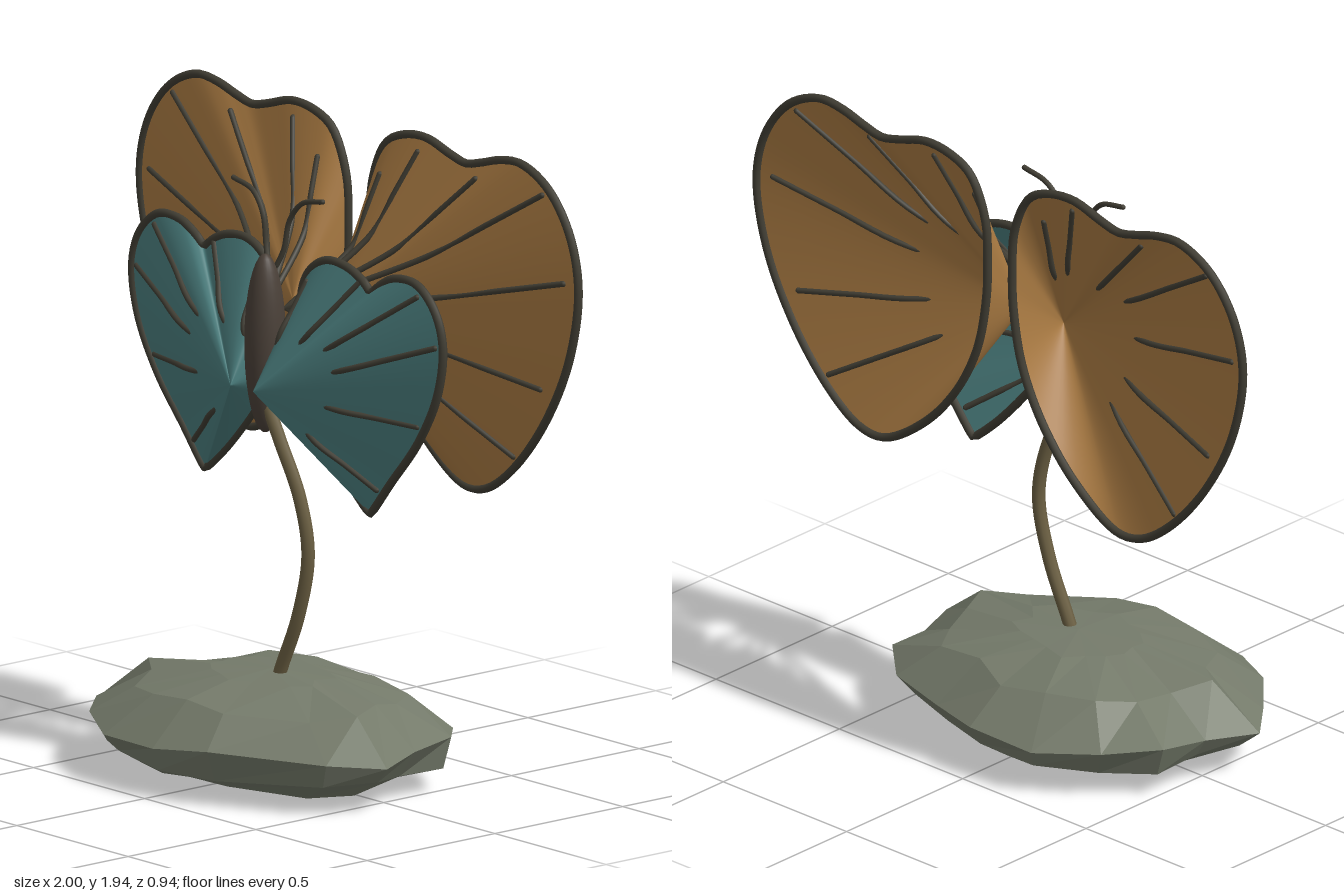
import * as THREE from 'three';

const mat = (color, extra = {}) => new THREE.MeshStandardMaterial({ color, ...extra });
const V = (x, y, z) => new THREE.Vector3(x, y, z);

function add(parent, name, geometry, material) {
  const mesh = new THREE.Mesh(geometry, material);
  mesh.name = name;
  parent.add(mesh);
  return mesh;
}

// Tube with rounded ends along a curve
function rod(parent, name, curve, segments, radius, material) {
  const group = new THREE.Group();
  group.name = name;
  add(group, name + 'Tube', new THREE.TubeGeometry(curve, segments, radius, 8), material);
  for (const t of [0, 1]) {
    add(group, name + 'End', new THREE.SphereGeometry(radius, 8, 6), material).position.copy(curve.getPoint(t));
  }
  parent.add(group);
}

// Flat rims, cone tips and vein ends of the wings on the +x side
const upperWing = {
  name: 'upperWing', color: 0xa97a42, rimZ: -0.34, apex: [0.08, 1.4, -0.15], root: [0.04, 1.42, -0.02],
  outline: [[0.05, 1.62], [0.06, 1.76], [0.12, 1.885], [0.2, 1.925], [0.3, 1.935], [0.41, 1.905], [0.48, 1.89], [0.55, 1.905],
    [0.64, 1.93], [0.73, 1.935], [0.85, 1.88], [0.945, 1.76], [0.985, 1.6], [0.945, 1.38], [0.83, 1.16], [0.68, 0.99],
    [0.565, 0.917], [0.47, 0.912], [0.3, 1.02], [0.17, 1.17], [0.09, 1.33], [0.055, 1.5]],
  veins: [[0.28, 1.89], [0.55, 1.86], [0.83, 1.86], [0.93, 1.61], [0.83, 1.27], [0.7, 1.04], [0.14, 1.8]],
};
const lowerWing = {
  name: 'lowerWing', color: 0x4a7d7d, rimZ: -0.06, apex: [0.05, 1.19, 0.12], root: [0.03, 1.2, 0],
  outline: [[0.07, 1.49], [0.11, 1.55], [0.18, 1.585], [0.27, 1.58], [0.34, 1.55], [0.375, 1.525], [0.41, 1.55],
    [0.48, 1.585], [0.58, 1.585], [0.66, 1.52], [0.697, 1.42], [0.675, 1.27], [0.59, 1.11], [0.46, 0.955], [0.38, 0.858],
    [0.37, 0.85], [0.36, 0.856], [0.27, 0.935], [0.14, 1.08], [0.065, 1.19], [0.055, 1.35]],
  veins: [[0.11, 1.51], [0.33, 1.55], [0.59, 1.55], [0.67, 1.41], [0.59, 1.155], [0.41, 0.93]],
};

function makeWing(spec, side, dark) {
  const group = new THREE.Group();
  group.name = (side > 0 ? 'left ' : 'right ') + spec.name;
  const apex = V(spec.apex[0] * side, spec.apex[1], spec.apex[2]);
  const rim = new THREE.CatmullRomCurve3(spec.outline.map(([x, y]) => V(x * side, y, spec.rimZ)), true);

  // Conical membrane: rings from the apex out to the rim
  const count = 96, rings = 6, positions = [], index = [];
  const rimPoints = Array.from({ length: count }, (_, i) => rim.getPoint(i / count));
  for (let r = 0; r <= rings; r++) {
    for (let i = 0; i < count; i++) {
      positions.push(...apex.clone().lerp(rimPoints[i], r / rings).toArray());
      if (r === rings) continue;
      const a = r * count + i, b = r * count + (i + 1) % count;
      index.push(a, a + count, b + count);
      if (r > 0) index.push(a, b + count, b);
    }
  }
  const membrane = new THREE.BufferGeometry();
  membrane.setAttribute('position', new THREE.Float32BufferAttribute(positions, 3));
  membrane.setIndex(index);
  membrane.computeVertexNormals();
  add(group, spec.name + 'Membrane', membrane, mat(spec.color, { side: THREE.DoubleSide }));

  add(group, spec.name + 'Rim', new THREE.TubeGeometry(rim, 120, 0.013, 8, true), dark);

  // Veins leave the body, meet the membrane halfway and run along it
  const root = V(spec.root[0] * side, spec.root[1], spec.root[2]);
  for (const [x, y] of spec.veins) {
    const reach = V(x * side - apex.x, y - apex.y, 0);
    const cosTo = p => V(p.x - apex.x, p.y - apex.y, 0).normalize().dot(reach);
    const target = rimPoints.reduce((best, p) => (cosTo(p) > cosTo(best) ? p : best));
    const full = reach.length() / Math.hypot(target.x - apex.x, target.y - apex.y);
    const onCone = f => V(apex.x + reach.x * f, apex.y + reach.y * f, apex.z + (spec.rimZ - apex.z) * full * f);
    const path = new THREE.CatmullRomCurve3([root, onCone(0.48), onCone(0.75), onCone(1)]);
    rod(group, spec.name + 'Vein', path, 24, 0.009, dark);
  }
  return group;
}

// Faceted boulder: one irregular plan outline scaled through a side profile
function rockGeometry() {
  const plan = [[0, -0.47], [-0.23, -0.45], [-0.41, -0.34], [-0.54, -0.21], [-0.56, -0.05], [-0.63, 0.11], [-0.55, 0.21],
    [-0.41, 0.36], [-0.23, 0.46], [0, 0.47], [0.2, 0.43], [0.54, 0.26], [0.63, 0.1], [0.56, -0.07], [0.54, -0.23],
    [0.41, -0.35], [0.2, -0.4]];
  const profile = [[0.005, 0], [0.012, 0.36], [0.03, 0.68], [0.085, 0.92], [0.16, 1], [0.265, 0.72], [0.312, 0.33], [0.322, 0]];
  const n = plan.length, positions = [], index = [];
  profile.forEach(([y, s], r) => plan.forEach(([x, z], i) => {
    const wobble = s === 0 || s === 1 ? 0 : 0.035 * Math.sin(i * 2.4 + r * 1.9);
    const lift = s > 0.5 ? 0.014 * Math.sin(i * 1.7 + r * 2.3) : 0;
    positions.push(x * (s + wobble), y + lift, z * (s + wobble));
    if (r === profile.length - 1) return;
    const a = r * n + i, b = r * n + (i + 1) % n;
    if (r < profile.length - 2) index.push(a, b + n, a + n);
    else index.push(a, b, a + n);
    if (r > 0 && r < profile.length - 2) index.push(a, b, b + n);
  }));
  const g = new THREE.BufferGeometry();
  g.setAttribute('position', new THREE.Float32BufferAttribute(positions, 3));
  g.setIndex(index);
  const flat = g.toNonIndexed();
  flat.computeVertexNormals();
  return flat;
}

export function createModel() {
  const model = new THREE.Group();
  model.name = 'butterflyOnRock';
  const dark = mat(0x403d33);

  add(model, 'rock', rockGeometry(), mat(0x747a6a, { flatShading: true }));

  // Curved stem from the rock to the body
  const stem = new THREE.CatmullRomCurve3([V(0.03, 0.28, 0.01), V(0.055, 0.34, 0.01), V(0.13, 0.51, 0.01),
    V(0.172, 0.7, 0.01), V(0.145, 0.87, 0.02), V(0.07, 1.04, 0.035), V(0.005, 1.17, 0.04)]);
  rod(model, 'stem', stem, 48, 0.02, mat(0x6b5f42));

  // Spindle-shaped body
  const body = add(model, 'body', new THREE.SphereGeometry(1, 24, 20), mat(0x4a4038));
  body.scale.set(0.062, 0.272, 0.062);
  body.position.set(0, 1.314, 0.028);

  for (const side of [1, -1]) {
    model.add(makeWing(upperWing, side, dark), makeWing(lowerWing, side, dark));
    const antenna = new THREE.CatmullRomCurve3([V(0.02, 1.55, 0), V(0.04, 1.6, -0.01), V(0.06, 1.69, -0.015),
      V(0.11, 1.75, -0.02), V(0.2, 1.772, -0.022)].map(p => p.setX(p.x * side)));
    rod(model, 'antenna', antenna, 24, 0.008, dark);
  }
  return model;
}
